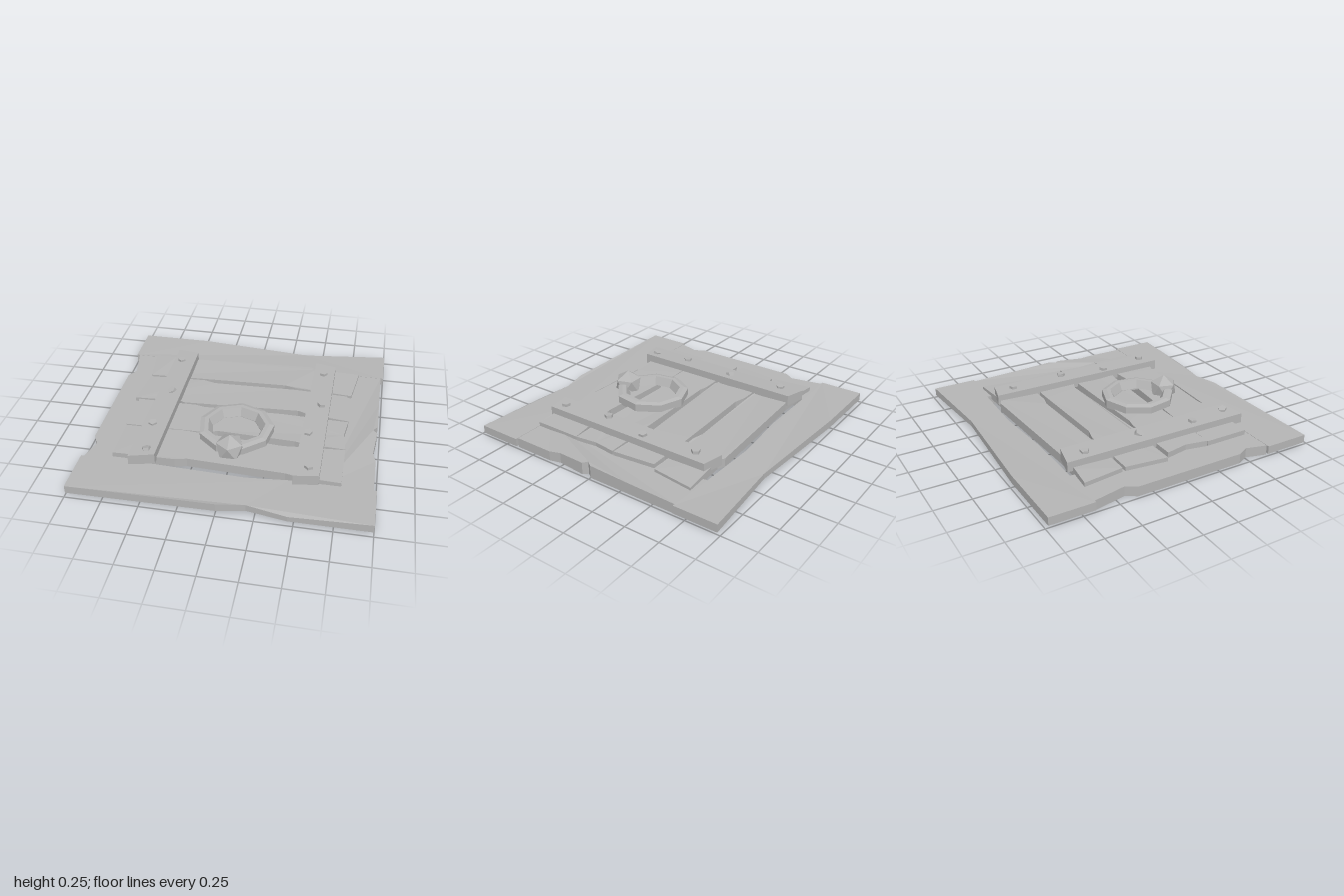
import * as THREE from 'three';

const wood = new THREE.MeshStandardMaterial({ color: 0xb4b4b4, flatShading: true });
wood.name = 'plain grey';

// Board cut from an outline of [x, z, optional rise of the top corner].
function board(name, y0, y1, outline) {
  const shape = new THREE.Shape(outline.map(([x, z]) => new THREE.Vector2(x, -z)));
  const geo = new THREE.ExtrudeGeometry(shape, { depth: y1 - y0, bevelEnabled: false });
  geo.rotateX(-Math.PI / 2).translate(0, y0, 0);
  const p = geo.attributes.position;
  for (let i = 0; i < p.count; i++) {
    if (p.getY(i) < (y0 + y1) / 2) continue;
    const c = outline.find(([x, z]) => Math.abs(x - p.getX(i)) + Math.abs(z - p.getZ(i)) < 1e-4);
    if (c && c[2]) p.setY(i, p.getY(i) + c[2]);
  }
  geo.computeVertexNormals();
  const mesh = new THREE.Mesh(geo, wood);
  mesh.name = name;
  return mesh;
}

export function createModel() {
  const model = new THREE.Group();
  model.name = 'trapdoor';

  // Outer frame
  model.add(
    board('frontFrameBoard', 0.015, 0.072, [
      [-1, 0.655], [-0.48, 0.655], [0.14, 0.68], [0.34, 0.66, -0.01], [0.43, 0.655], [1, 0.655],
      [1, 0.975], [0.46, 0.975, -0.02], [0.19, 0.93, -0.008], [0, 0.965], [-1, 0.975]]),
    board('backFrameBoard', 0.015, 0.072, [
      [-1, -0.98], [-0.48, -0.98], [0.37, -0.925, -0.015], [1, -0.98],
      [1, -0.665], [0.66, -0.665], [0.66, -0.685], [0.22, -0.7], [-0.22, -0.665], [-1, -0.665]]),
    board('rightFrameBoard', 0, 0.07, [
      [-0.98, -0.665], [-0.66, -0.665], [-0.66, 0.655], [-0.98, 0.655],
      [-0.94, 0.51], [-0.98, 0.43], [-0.98, -0.36], [-0.935, -0.43]]),
    board('leftFrameBoard', 0, 0.07, [
      [0.66, -0.665], [0.98, -0.665], [0.98, -0.3, 0.01], [0.98, 0, 0.022], [0.95, 0.04, 0.022],
      [0.98, 0.07, 0.018], [0.96, 0.28, 0.005], [0.98, 0.36], [0.98, 0.655], [0.66, 0.655]]));

  // Cross planks
  const planks = [
    [[-0.82, -0.645, -0.01], [-0.66, -0.63], [-0.47, -0.625], [0.43, -0.67], [0.48, -0.645], [0.81, -0.66, -0.02],
      [0.77, -0.355, -0.02], [0.34, -0.36], [0.26, -0.38], [-0.38, -0.355], [-0.785, -0.355, -0.01]],
    [[-0.785, -0.335, -0.01], [-0.36, -0.34], [-0.27, -0.315], [0.35, -0.335], [0.74, -0.33, -0.01],
      [0.77, -0.02, -0.01], [0.48, -0.04], [0.4, -0.07], [-0.44, -0.025], [-0.48, -0.04], [-0.82, -0.035, -0.01]],
    [[-0.785, -0.01], [-0.35, -0.01], [-0.28, 0.005], [0.3, -0.01], [0.77, -0.01, -0.01], [0.75, 0.15, -0.01],
      [0.77, 0.305, -0.01], [0.48, 0.305], [0.42, 0.29], [-0.13, 0.27], [-0.2, 0.3], [-0.785, 0.305], [-0.755, 0.15]],
    [[-0.785, 0.31, -0.005], [-0.44, 0.31], [-0.38, 0.305], [0.35, 0.355], [0.46, 0.345], [0.77, 0.31, -0.01],
      [0.77, 0.655, -0.01], [0.48, 0.655], [0.4, 0.635], [-0.27, 0.605], [-0.35, 0.625], [-0.785, 0.625, -0.005]]];
  planks.forEach((outline, i) => model.add(board(`plank${i + 1}`, 0.045, 0.11, outline)));

  // Straps holding the planks
  model.add(
    board('rightStrap', 0.085, 0.155, [
      [-0.64, -0.67], [-0.475, -0.635, 0.01], [-0.475, 0.665, 0.01], [-0.65, 0.7]]),
    board('leftStrap', 0.08, 0.155, [
      [0.47, -0.67], [0.625, -0.635], [0.625, 0.675], [0.455, 0.7]]));

  // Five-sided nail heads, a few of them crooked: x, z, tilt
  const nails = [
    [-0.58, -0.515, 0], [-0.55, -0.09, 0.5], [-0.58, 0.325, 0.1], [-0.545, 0.61, -0.35],
    [0.54, -0.515, 0], [0.565, -0.105, 0.1], [0.505, 0.24, -0.1], [0.55, 0.6, 0]];
  const nailGeo = new THREE.CylinderGeometry(0.031, 0.031, 0.03, 5);
  nails.forEach(([x, z, tilt], i) => {
    const nail = new THREE.Mesh(nailGeo, wood);
    nail.name = `nail${i + 1}`;
    nail.position.set(x, 0.16, z);
    nail.rotation.set(0, i * 0.7, tilt);
    model.add(nail);
  });

  // Nine-sided pull ring with a sloped inner face
  const profile = [[0.175, 0.11], [0.205, 0.17], [0.235, 0.17], [0.267, 0.16], [0.267, 0.1], [0.175, 0.1], [0.175, 0.11]]
    .reverse().map(([r, y]) => new THREE.Vector2(r, y));
  const ring = new THREE.Mesh(new THREE.LatheGeometry(profile, 9, Math.PI), wood);
  ring.name = 'pullRing';
  ring.position.z = 0.245;
  model.add(ring);

  // Faceted knob that pins the ring, one corner pointing up
  const knobGeo = new THREE.IcosahedronGeometry(0.105, 0);
  knobGeo.rotateX(-Math.atan((1 + Math.sqrt(5)) / 2));
  const knob = new THREE.Mesh(knobGeo, wood);
  knob.name = 'ringKnob';
  knob.position.set(0, 0.145, 0.475);
  model.add(knob);

  return model;
}
